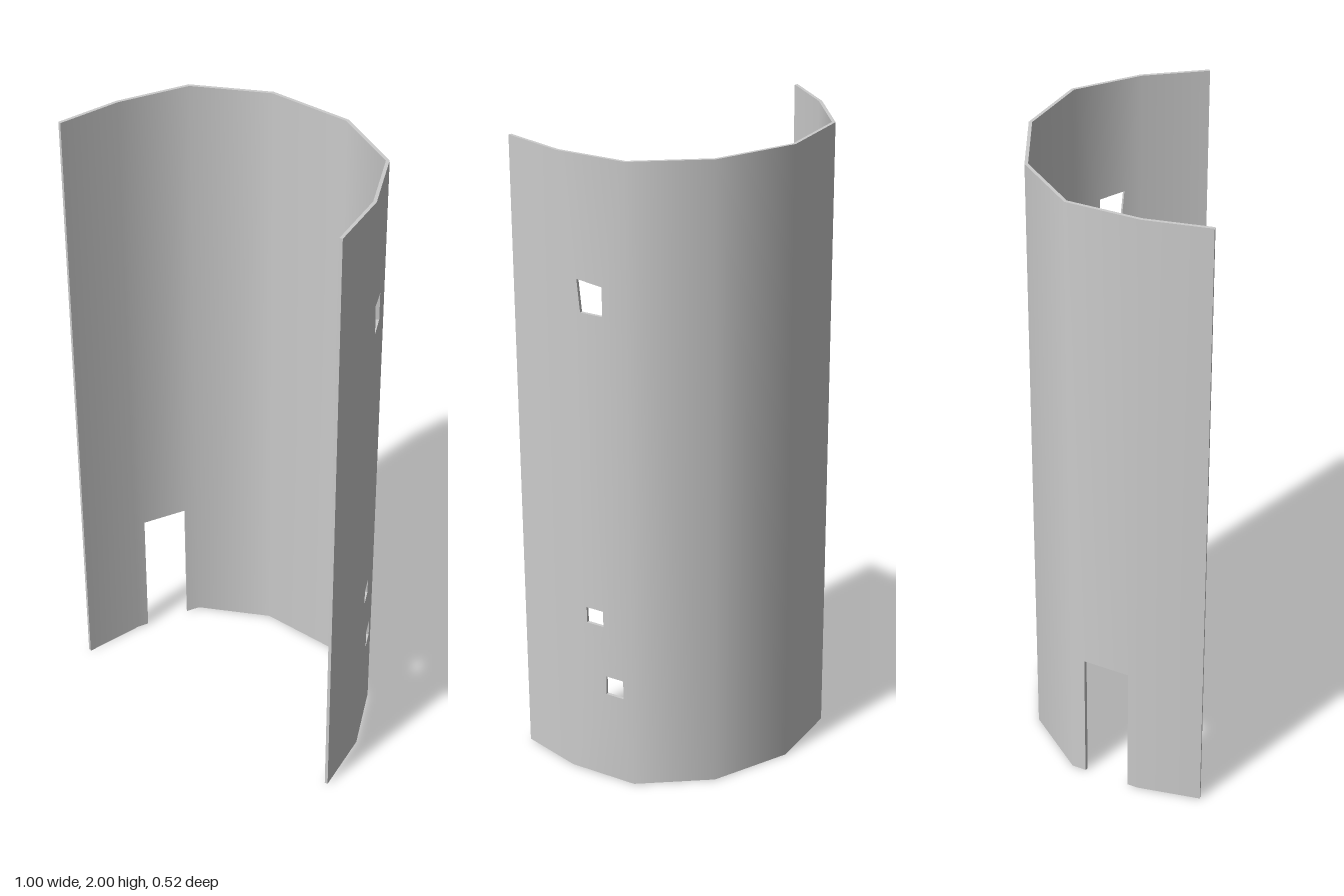
import * as THREE from 'three';
import { mergeGeometries } from 'three/addons/utils/BufferGeometryUtils.js';

const HEIGHT = 2, THICKNESS = 0.01;

// Outer plan outline as [x, z], from the -x end round the back to the +x end
const outline = [
  [-0.5, 0.252], [-0.452, 0.058], [-0.352, -0.147], [-0.13, -0.263],
  [0.137, -0.263], [0.361, -0.147], [0.462, 0.055], [0.5, 0.26],
].map(([x, z]) => new THREE.Vector3(x, 0, z));

// Inward normal of each flat panel, then the shared normal and mitred inner point at each corner
const panelNormals = outline.slice(1).map((p, i) => {
  const d = p.clone().sub(outline[i]).normalize();
  return new THREE.Vector3(-d.z, 0, d.x);
});
const cornerNormals = outline.map((_, i) => {
  const a = panelNormals[Math.max(i - 1, 0)];
  const b = panelNormals[Math.min(i, panelNormals.length - 1)];
  return a.clone().add(b).normalize();
});
const inner = outline.map((p, i) => {
  const n = cornerNormals[i];
  const along = n.dot(panelNormals[Math.min(i, panelNormals.length - 1)]);
  return p.clone().addScaledVector(n, THICKNESS / along);
});

// Openings as [u, y] corners, u running 0..1 across their panel
const DOOR_PANEL = 1, WINDOW_PANEL = 5;
const door = { u0: 0.15, u1: 0.8, top: 0.44 };
const windows = [
  [[0.37, 1.53], [0.7, 1.53], [0.745, 1.63], [0.37, 1.62]],
  [[0.45, 0.525], [0.71, 0.525], [0.71, 0.577], [0.45, 0.577]],
  [[0.15, 0.293], [0.42, 0.293], [0.42, 0.355], [0.15, 0.355]],
];

function panelShape(i) {
  const pts = [[0, 0]];
  if (i === DOOR_PANEL) {
    pts.push([door.u0, 0], [door.u0, door.top], [door.u1, door.top], [door.u1, 0]);
  }
  pts.push([1, 0], [1, HEIGHT], [0, HEIGHT]);
  const toVec = ([u, y]) => new THREE.Vector2(u, y);
  const shape = new THREE.Shape(pts.map(toVec));
  if (i === WINDOW_PANEL) windows.forEach((w) => shape.holes.push(new THREE.Path(w.map(toVec))));
  return shape;
}

// Extrude a panel in (u, y, depth), then wrap it onto its stretch of the outline
function panelGeometry(i) {
  const flat = new THREE.ExtrudeGeometry(panelShape(i), { depth: 1, bevelEnabled: false });
  const src = flat.attributes.position;
  const capCount = flat.groups[0].count;
  const last = panelNormals.length - 1;
  const positions = [], normals = [];
  const v = [0, 1, 2].map(() => new THREE.Vector3());
  const n = new THREE.Vector3();

  for (let t = 0; t < src.count; t += 3) {
    const us = [0, 1, 2].map((k) => src.getX(t + k));
    // Leave out the hidden faces where neighbouring panels meet
    if (i > 0 && us.every((u) => u < 1e-6)) continue;
    if (i < last && us.every((u) => u > 1 - 1e-6)) continue;

    v.forEach((p, k) => {
      const line = src.getZ(t + k) > 0.5 ? inner : outline;
      p.lerpVectors(line[i], line[i + 1], us[k]).setY(src.getY(t + k));
    });
    const face = v[1].clone().sub(v[0]).cross(v[2].clone().sub(v[0])).normalize();
    v.forEach((p, k) => {
      n.copy(face);
      if (t < capCount) {
        // Smooth shading round the bend on the broad faces
        n.lerpVectors(cornerNormals[i], cornerNormals[i + 1], us[k]).normalize();
        if (src.getZ(t + k) < 0.5) n.negate();
      }
      positions.push(p.x, p.y, p.z);
      normals.push(n.x, n.y, n.z);
    });
  }
  const geo = new THREE.BufferGeometry();
  geo.setAttribute('position', new THREE.Float32BufferAttribute(positions, 3));
  geo.setAttribute('normal', new THREE.Float32BufferAttribute(normals, 3));
  return geo;
}

export function createModel() {
  const group = new THREE.Group();
  group.name = 'curvedWallSection';
  const wall = new THREE.Mesh(
    mergeGeometries(panelNormals.map((_, i) => panelGeometry(i))),
    new THREE.MeshStandardMaterial({ color: 0xcccccc }),
  );
  wall.name = 'wall';
  group.add(wall);
  return group;
}
